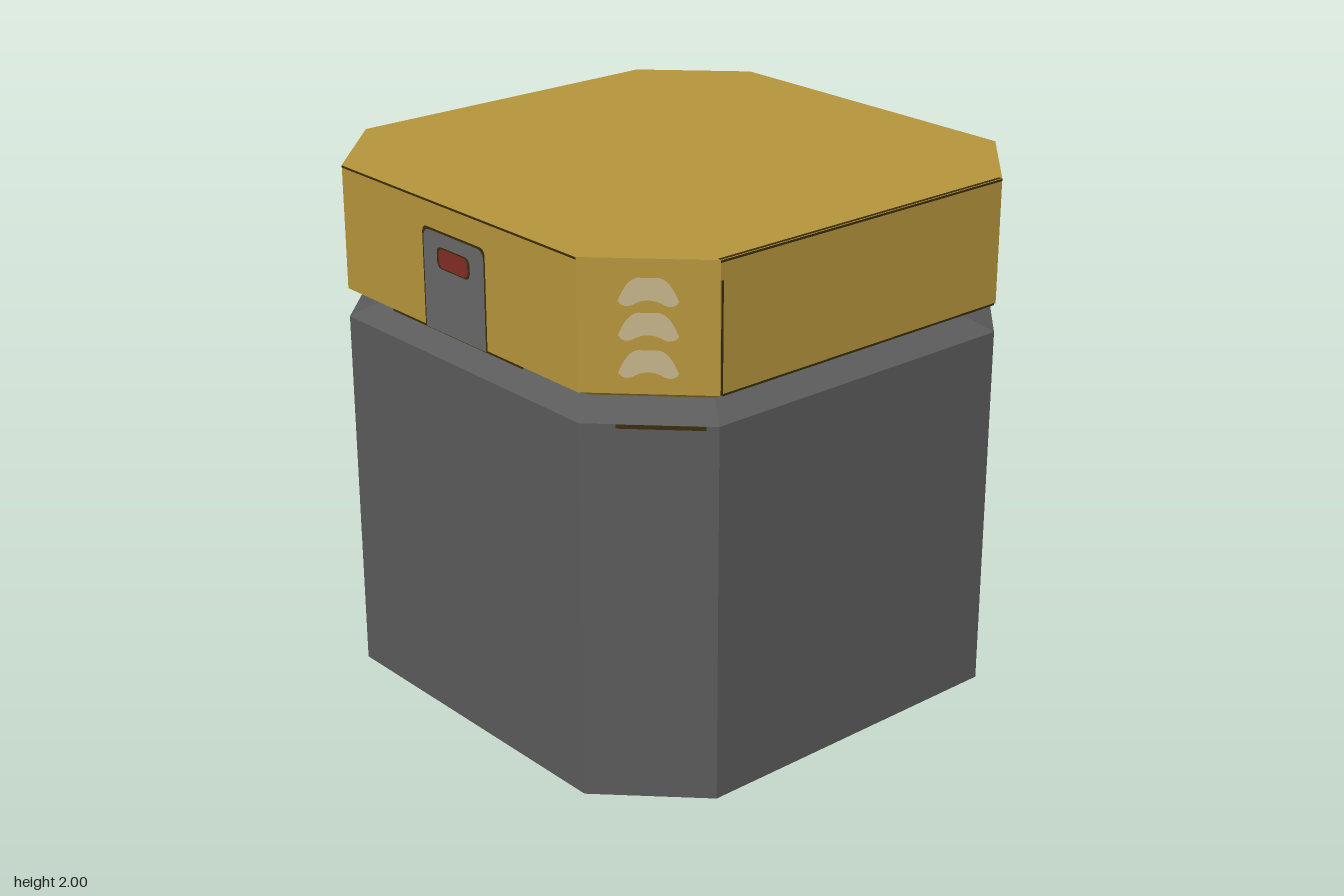
import * as THREE from 'three';

const mat = (name, color) => new THREE.MeshStandardMaterial({ name, color });

// Chamfered-square ring at height y; s scales it inward
function ring(y, s) {
  const c = 0.67 * s;
  return [[c, s], [s, c], [s, -c], [c, -s], [-c, -s], [-s, -c], [-s, c], [-c, s]]
    .map(([x, z]) => new THREE.Vector3(x, y, z));
}

// Flat-sided solid through a list of [height, scale] sections
function loft(sections, capBottom, capTop) {
  const rings = sections.map(([y, s]) => ring(y, s));
  const pos = [];
  const tri = (...pts) => pts.forEach((p) => pos.push(p.x, p.y, p.z));
  for (let r = 0; r + 1 < rings.length; r++) {
    for (let i = 0; i < 8; i++) {
      const j = (i + 1) % 8;
      const [a, b, c, d] = [rings[r][i], rings[r][j], rings[r + 1][j], rings[r + 1][i]];
      tri(a, b, c);
      tri(a, c, d);
    }
  }
  const top = rings[rings.length - 1];
  for (let i = 1; i < 7; i++) {
    if (capBottom) tri(rings[0][0], rings[0][i + 1], rings[0][i]);
    if (capTop) tri(top[0], top[i], top[i + 1]);
  }
  const g = new THREE.BufferGeometry();
  g.setAttribute('position', new THREE.Float32BufferAttribute(pos, 3));
  g.computeVertexNormals();
  return g;
}

// Rectangle with rounded top corners (and bottom ones when rb > 0)
function plateShape(w, h, rt, rb) {
  const x = w / 2, s = new THREE.Shape();
  s.moveTo(-x + rb, 0);
  s.lineTo(x - rb, 0);
  if (rb) s.quadraticCurveTo(x, 0, x, rb);
  s.lineTo(x, h - rt);
  s.quadraticCurveTo(x, h, x - rt, h);
  s.lineTo(-x + rt, h);
  s.quadraticCurveTo(-x, h, -x, h - rt);
  s.lineTo(-x, rb);
  if (rb) s.quadraticCurveTo(-x, 0, -x + rb, 0);
  return s;
}

// Soft upward chevron
function chevronShape() {
  const s = new THREE.Shape();
  s.moveTo(-0.1, -0.03);
  s.quadraticCurveTo(-0.07, 0.045, -0.035, 0.05);
  s.lineTo(0.035, 0.05);
  s.quadraticCurveTo(0.07, 0.045, 0.1, -0.03);
  s.quadraticCurveTo(0.085, -0.055, 0.055, -0.045);
  s.quadraticCurveTo(0, -0.01, -0.055, -0.045);
  s.quadraticCurveTo(-0.085, -0.055, -0.1, -0.03);
  return s;
}

export function createModel() {
  const gold = mat('gold', 0xb5953c);
  const grey = mat('darkGrey', 0x5b5b5b);
  const steel = mat('latchGrey', 0x686868);
  const red = mat('red', 0x832c26);
  const cream = mat('cream', 0xc4b48a);
  const dark = mat('darkBrown', 0x3a2c0c);

  const model = new THREE.Group();
  const add = (parent, name, geo, material, x = 0, y = 0, z = 0) => {
    const m = new THREE.Mesh(geo, material);
    m.name = name;
    m.position.set(x, y, z);
    parent.add(m);
    return m;
  };

  // Body and lid meet at a pinched neck
  add(model, 'body', loft([[0, 1], [1.42, 1], [1.475, 0.9]], true, false), grey);
  add(model, 'lid', loft([[1.475, 0.9], [1.53, 1], [2, 1]], false, true), gold);

  const chevron = new THREE.ShapeGeometry(chevronShape());
  const strip = (w, h) => new THREE.PlaneGeometry(w, h);
  const cornerDistance = 1.67 / Math.SQRT2;

  // Details on each of the eight sides
  for (let i = 0; i < 8; i++) {
    const side = new THREE.Group();
    side.name = 'side' + i;
    side.rotation.y = i * Math.PI / 4;
    model.add(side);

    if (i % 2) {
      // Corner chevrons
      for (const y of [1.885, 1.765, 1.635]) {
        add(side, 'chevron', chevron, cream, 0, y, cornerDistance + 0.002);
      }
      // Worn mark below the neck on two opposite corners
      if (i % 4 === 3) add(side, 'wornMark', strip(0.3, 0.015), dark, 0.04, 1.412, cornerDistance + 0.001);
      continue;
    }

    // Dark seams along the lid edges
    add(side, 'topSeam', strip(1.34, 0.008), dark, 0, 1.995, 1.001);
    if (i % 4 === 0) {
      add(side, 'lowerSeam', strip(1.32, 0.008), dark, 0, 1.53, 1.001);
      add(side, 'cornerSeam', strip(0.01, 0.4), dark, -0.662, 1.73, 1.001);
    } else {
      add(side, 'lowerSeam', strip(0.76, 0.008), dark, 0, 1.527, 1.001);
      // Latch with red indicator
      add(side, 'latchBorder', new THREE.ShapeGeometry(plateShape(0.36, 0.375, 0.03, 0)), dark, 0, 1.525, 1.002);
      add(side, 'latch', new THREE.ShapeGeometry(plateShape(0.346, 0.366, 0.04, 0)), steel, 0, 1.526, 1.003);
      add(side, 'indicatorBorder', new THREE.ShapeGeometry(plateShape(0.19, 0.08, 0.03, 0.03)), dark, 0, 1.763, 1.004);
      add(side, 'indicator', new THREE.ShapeGeometry(plateShape(0.165, 0.07, 0.025, 0.025)), red, 0, 1.768, 1.005);
    }
  }

  // Dark edge on the front rim of the top
  add(model, 'topRim', strip(1.34, 0.014), dark, 0, 2.001, 0.992).rotation.x = -Math.PI / 2;

  return model;
}
